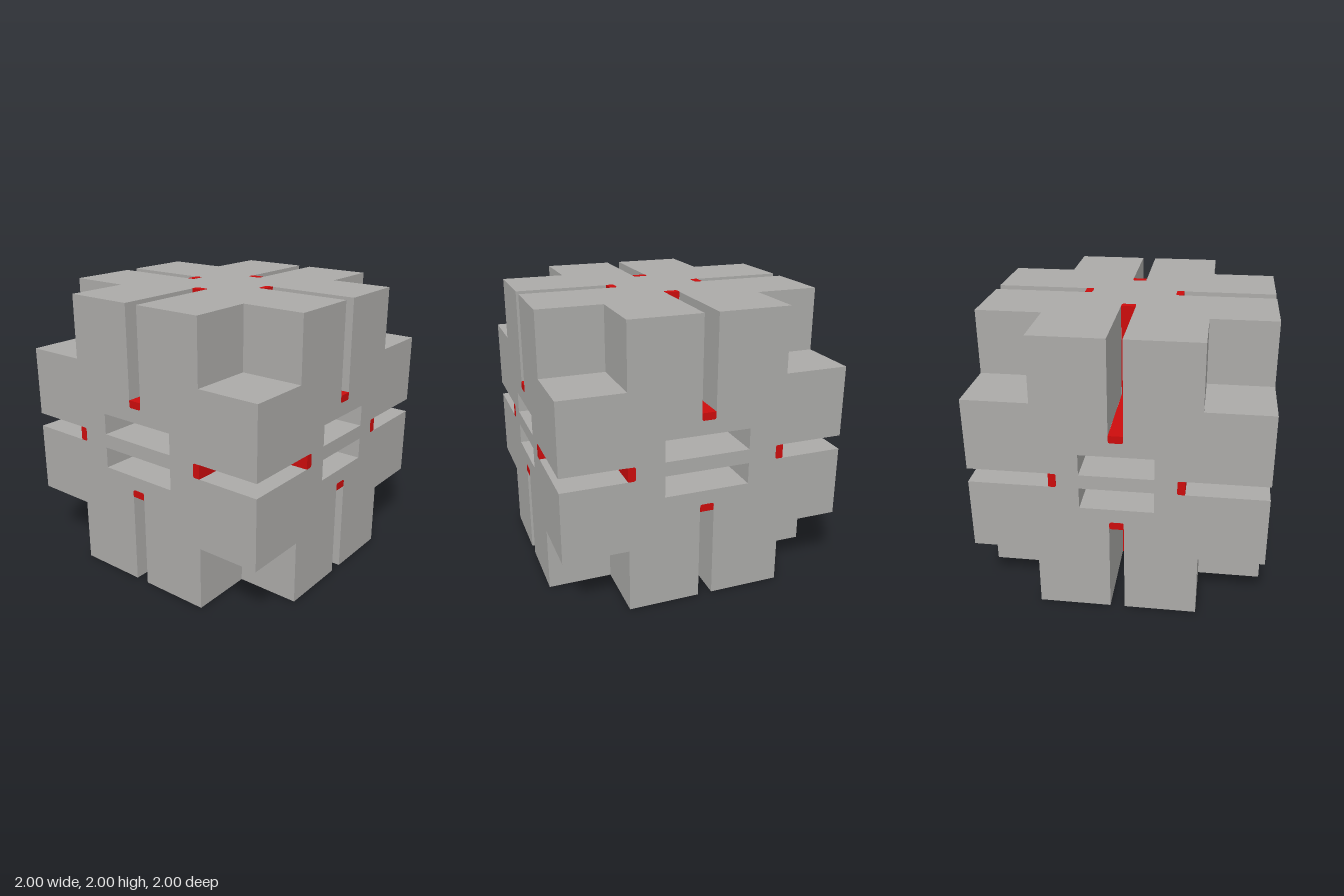
import * as THREE from 'three';

// Box cuts in one octant (distance from the centre), mirrored to all eight: [min xyz, max xyz]
const CUTS = [
  [[0.55, 0.55, 0.55], [1, 1, 1]],    // corner notches
  [[0, 0.35, 0.35], [0.05, 1, 1]],    // slots in the front and back edges
  [[0.35, 0.35, 0], [1, 1, 0.05]],    // slots in the side edges
  [[0.45, 0, 0.55], [1, 0.05, 1]],    // slots in the upright edges
  [[0, 0.05, 0.5], [0.25, 0.2, 1]],   // windows in front and back
  [[0.5, 0.05, 0], [1, 0.2, 0.3]],    // windows in the sides
];

// A cube minus the cuts, keeping only the faces between solid and empty cells
function carvedCube() {
  const grid = [0, 1, 2].map((a) => {
    const values = new Set([0, 1, -1]);
    CUTS.forEach((cut) => cut.forEach((p) => values.add(p[a]).add(-p[a])));
    values.delete(-0);
    values.add(0);
    return [...values].sort((p, q) => p - q);
  });
  const solid = (cell) => {
    if (cell.some((n, a) => n < 0 || n > grid[a].length - 2)) return false;
    const mid = cell.map((n, a) => Math.abs(grid[a][n] + grid[a][n + 1]) / 2);
    return !CUTS.some(([lo, hi]) => mid.every((m, a) => m > lo[a] && m < hi[a]));
  };
  const positions = [];
  const addFaces = (cell) => {
    for (let a = 0; a < 3; a++) {
      const b = (a + 1) % 3, c = (a + 2) % 3;
      for (const side of [0, 1]) {
        const next = [...cell];
        next[a] += side ? 1 : -1;
        if (solid(next)) continue;
        const corners = [[0, 0], [1, 0], [1, 1], [0, 1]].map(([u, v]) => {
          const p = [0, 0, 0];
          p[a] = grid[a][cell[a] + side];
          p[b] = grid[b][cell[b] + u];
          p[c] = grid[c][cell[c] + v];
          return p;
        });
        if (!side) corners.reverse();
        [0, 1, 2, 0, 2, 3].forEach((n) => positions.push(...corners[n]));
      }
    }
  };
  for (let i = 0; i < grid[0].length - 1; i++)
    for (let j = 0; j < grid[1].length - 1; j++)
      for (let k = 0; k < grid[2].length - 1; k++)
        if (solid([i, j, k])) addFaces([i, j, k]);
  const geometry = new THREE.BufferGeometry();
  geometry.setAttribute('position', new THREE.Float32BufferAttribute(positions, 3));
  geometry.computeVertexNormals();
  return geometry;
}

// Inlay bar section: flat on the slot floor, rounded on the buried side
function barShape() {
  const w = 0.049, top = 0.002, low = -0.05, r = 0.015;
  const s = new THREE.Shape();
  s.moveTo(w, top);
  s.lineTo(-w, top);
  s.lineTo(-w, low + r);
  s.quadraticCurveTo(-w, low, -w + r, low);
  s.lineTo(w - r, low);
  s.quadraticCurveTo(w, low, w, low + r);
  s.closePath();
  return s;
}

export function createModel() {
  const grey = new THREE.MeshStandardMaterial({ color: 0xabaaa8 });
  grey.name = 'stone grey';
  const red = new THREE.MeshStandardMaterial({ color: 0xcc0c0c });
  red.name = 'signal red';

  const model = new THREE.Group();
  model.name = 'slottedCube';
  const add = (name, geometry, material, parent) => {
    const mesh = new THREE.Mesh(geometry, material);
    mesh.name = name;
    parent.add(mesh);
    return mesh;
  };
  const cube = new THREE.Group();
  cube.name = 'cube';
  cube.position.y = 1;
  model.add(cube);

  add('body', carvedCube(), grey, cube);

  // Core showing at the back of the windows
  add('core', new THREE.BoxGeometry(1.004, 0.42, 1.004), red, cube);

  // Inlay bars along both inner walls of each edge slot
  const inlays = new THREE.Group();
  inlays.name = 'slotInlays';
  cube.add(inlays);
  const unit = (axis, sign) => new THREE.Vector3().setComponent(axis, sign);
  const shape = barShape();
  const addBar = (up, upSign, floor, along, alongSign, start) => {
    const geometry = new THREE.ExtrudeGeometry(shape, {
      depth: 1.002 - start, bevelEnabled: false, curveSegments: 4,
    });
    const y = unit(up, upSign), z = unit(along, alongSign);
    const x = new THREE.Vector3().crossVectors(y, z);
    const place = new THREE.Matrix4().makeBasis(x, y, z);
    place.setPosition(y.clone().multiplyScalar(floor).addScaledVector(z, start));
    add('inlayBar', geometry.applyMatrix4(place), red, inlays);
  };
  const slots = [[1, 0.35, 2, 0.35], [0, 0.35, 1, 0.35], [0, 0.45, 2, 0.55]];
  for (const [a, floorA, b, floorB] of slots)
    for (const sa of [1, -1])
      for (const sb of [1, -1]) {
        addBar(a, sa, floorA, b, sb, floorB - 0.05);
        addBar(b, sb, floorB, a, sa, floorA - 0.05);
      }
  return model;
}
